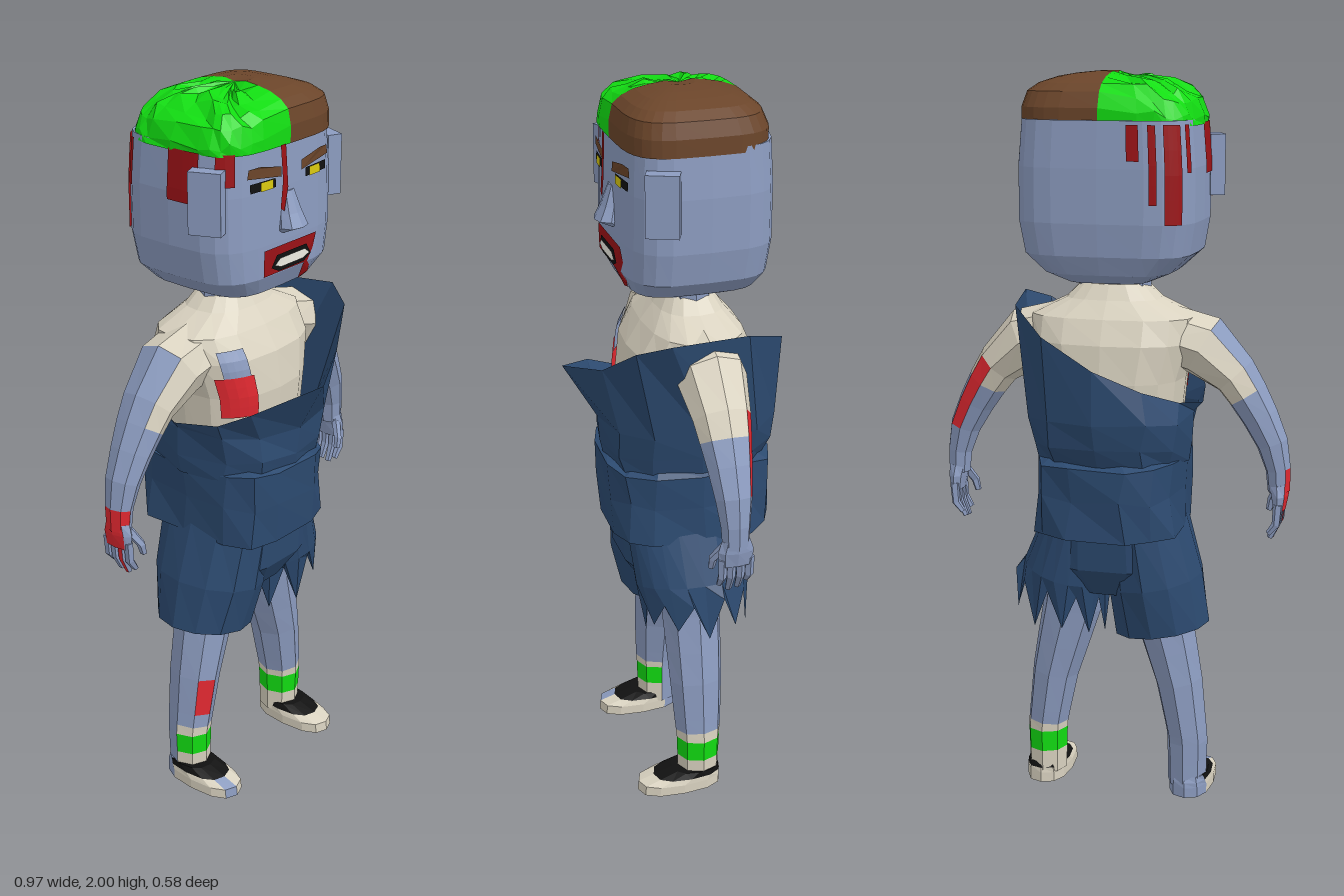
import * as THREE from 'three';

const SKIN = 0x8c9cc0, CREAM = 0xd9d2c0, NAVY = 0x2c4a70, BROWN = 0x6b452a, GREEN = 0x12dd12;
const RED = 0xe02830, DARK_RED = 0x9c1216, BLACK = 0x111111, YELLOW = 0xd8c810, WHITE = 0xf0eee4;

let seed = 7;
const rnd = () => (seed = (seed * 16807) % 2147483647) / 2147483647;
const V = (x, y, z) => new THREE.Vector3(x, y, z);
const jitter = (ring, a) => ring.map(p => p.clone().add(V((rnd() - 0.5) * a, (rnd() - 0.5) * a, (rnd() - 0.5) * a)));

function mesh(name, geo, color, double = false) {
  const m = new THREE.Mesh(geo, new THREE.MeshStandardMaterial({
    color, flatShading: true, side: double ? THREE.DoubleSide : THREE.FrontSide }));
  m.name = name;
  return m;
}

// Skin over rings listed upward; paint(i, j) gives the colour of each face
function loft(name, rings, paint, { cap = true, double = false } = {}) {
  const group = new THREE.Group();
  group.name = name;
  const all = rings.slice(), n = rings[0].length;
  const flat = r => { const c = V(0, 0, 0); r.forEach(p => c.add(p)); c.divideScalar(n); return r.map(() => c); };
  if (cap) { all.unshift(flat(rings[0])); all.push(flat(rings[rings.length - 1])); }
  const lists = new Map();
  for (let i = 0; i < all.length - 1; i++) for (let j = 0; j < n; j++) {
    const row = Math.min(Math.max(cap ? i - 1 : i, 0), rings.length - 2);
    const color = typeof paint === 'function' ? paint(row, j) : paint;
    if (!lists.has(color)) lists.set(color, []);
    const k = (j + 1) % n, a = all[i][j], b = all[i][k], c = all[i + 1][k], d = all[i + 1][j];
    const out = lists.get(color);
    if (d !== c) out.push(a, d, c);
    if (a !== b) out.push(a, c, b);
  }
  for (const [color, pts] of lists) {
    const g = new THREE.BufferGeometry().setFromPoints(pts);
    g.computeVertexNormals();
    group.add(mesh(name + 'Surface', g, color, double));
  }
  return group;
}

// Rounded-square point on a section [y, halfWidth, zFront, zBack]
function sectionPoint([y, hw, zf, zb], t, n, cx = 0) {
  const p = v => Math.sign(v) * Math.pow(Math.abs(v), 2 / n);
  return V(cx + hw * p(Math.cos(t)), y, (zf + zb) / 2 + (zf - zb) / 2 * p(Math.sin(t)));
}
const ringsOf = (sections, n, segs, cx = 0) => sections.map(s =>
  Array.from({ length: segs }, (_, j) => sectionPoint(s, j / segs * Math.PI * 2, n, cx)));
function sectionAt(sections, y) {
  let i = 0;
  while (i < sections.length - 2 && sections[i + 1][0] < y) i++;
  const a = sections[i], b = sections[i + 1], f = (y - a[0]) / (b[0] - a[0]);
  return a.map((v, k) => v + (b[k] - v) * f);
}

// Rings across a path of [x, y, z, halfWidth, halfDepth], listed upward
function limbRings(path, segs) {
  return path.map(([x, y, z, w, d], i) => {
    const a = path[Math.max(i - 1, 0)], b = path[Math.min(i + 1, path.length - 1)];
    const l = Math.hypot(b[0] - a[0], b[1] - a[1]), ux = (b[1] - a[1]) / l, uy = -(b[0] - a[0]) / l;
    return Array.from({ length: segs }, (_, j) => {
      const t = j / segs * Math.PI * 2, c = Math.cos(t) * w;
      return V(x + ux * c, y + uy * c, z + Math.sin(t) * d);
    });
  });
}

// Flat outline laid on the front of a sectioned body
function frontPatch(name, color, sections, n, pts, off) {
  const g = new THREE.ShapeGeometry(new THREE.Shape(pts.map(p => new THREE.Vector2(...p))));
  const pos = g.attributes.position;
  for (let i = 0; i < pos.count; i++) {
    const [, hw, zf, zb] = sectionAt(sections, pos.getY(i));
    const r = Math.min(Math.abs(pos.getX(i)) / hw, 1);
    pos.setZ(i, (zf + zb) / 2 + (zf - zb) / 2 * Math.pow(1 - r ** n, 1 / n) + off);
  }
  g.computeVertexNormals();
  return mesh(name, g, color, true);
}
const rect = (x0, x1, y0, y1) => [[x0, y0], [x1, y0], [x1, y1], [x0, y1]];

// Strip wrapped round a sectioned body between two angles in degrees
function wrapPatch(name, color, sections, n, t0, t1, y0, y1, off = 0.004) {
  const g = new THREE.PlaneGeometry(1, 1, 4, 4), pos = g.attributes.position;
  for (let i = 0; i < pos.count; i++) {
    const t = THREE.MathUtils.degToRad(t1 + (t0 - t1) * (pos.getX(i) + 0.5));
    const [y, hw, zf, zb] = sectionAt(sections, y0 + (y1 - y0) * (pos.getY(i) + 0.5));
    const p = sectionPoint([y, hw + off, zf + off, zb - off], t, n);
    pos.setXYZ(i, p.x, p.y, p.z);
  }
  g.computeVertexNormals();
  return mesh(name, g, color, true);
}

function makeHead() {
  const head = new THREE.Group(), N = 4;
  head.name = 'head';
  const S = [[1.46, 0.11, 0.08, -0.17], [1.485, 0.17, 0.13, -0.205], [1.535, 0.225, 0.155, -0.225],
    [1.62, 0.24, 0.157, -0.235], [1.76, 0.24, 0.155, -0.235], [1.88, 0.23, 0.15, -0.23]];
  head.add(loft('skull', ringsOf(S, N, 24), SKIN));

  // Hair: smooth on the left, lumpy on the right
  const hair = ringsOf([[1.865, 0.232, 0.157, -0.222], [1.91, 0.231, 0.157, -0.222], [1.95, 0.218, 0.148, -0.205],
    [1.97, 0.19, 0.125, -0.18], [1.985, 0.145, 0.09, -0.14], [1.993, 0.1, 0.05, -0.1], [1.998, 0.05, 0.01, -0.06]], 4, 32);
  hair.forEach((r, i) => r.forEach(p => {
    if (p.x > -0.01) return;
    p.x *= 1 + (rnd() - 0.5) * 0.06;
    if (i) p.y -= rnd() * 0.022 + 0.1 * Math.max(0, -p.x - 0.1);
  }));
  head.add(loft('hair', hair, (i, j) => (j >= 8 && j < 24 ? GREEN : BROWN)));

  // Nose
  head.add(loft('nose', ringsOf([[1.64, 0.035, 0.165, 0.13], [1.655, 0.043, 0.2, 0.13], [1.69, 0.034, 0.182, 0.13],
    [1.745, 0.022, 0.16, 0.13]], 2.5, 8), SKIN));

  const face = (name, color, pts, off) => head.add(frontPatch(name, color, S, N, pts, off));
  for (const s of [1, -1]) {
    const ear = mesh('ear', new THREE.BoxGeometry(0.04, 0.16, 0.085), SKIN);
    ear.position.set(s * 0.24, 1.755, 0.088);
    ear.rotation.set(0, -s * 0.4, 0);
    head.add(ear);
    const flip = pts => pts.map(([x, y]) => [s * x, y]);
    face('eye', BLACK, flip(rect(0.06, 0.15, 1.767, 1.79)), 0.005);
    face('iris', YELLOW, flip(rect(0.072, 0.118, 1.767, 1.79)), 0.008);
    face('eyebrow', BROWN, flip([[0.04, 1.79], [0.16, 1.805], [0.155, 1.828], [0.12, 1.83], [0.04, 1.815]]), 0.008);
  }

  // Mouth and blood on the face
  face('mouthBlood', DARK_RED, [[-0.105, 1.54], [0.055, 1.54], [0.06, 1.49], [0.1, 1.5], [0.105, 1.61], [-0.105, 1.61]], 0.006);
  face('lips', BLACK, [[-0.08, 1.56], [-0.05, 1.545], [0.05, 1.545], [0.08, 1.56], [0.06, 1.59], [-0.06, 1.59]], 0.009);
  face('teeth', WHITE, [[-0.07, 1.565], [-0.045, 1.556], [0.045, 1.556], [0.07, 1.565], [0.05, 1.58], [-0.05, 1.58]], 0.012);
  face('foreheadDrip', DARK_RED, [[-0.05, 1.71], [-0.035, 1.70], [-0.02, 1.76], [-0.025, 1.87], [-0.045, 1.87], [-0.04, 1.78]], 0.012);

  // Blood running down the right side and the back
  [[128, 150, 1.79], [205, 212, 1.75], [219, 239, 1.62], [246, 252, 1.67], [258, 264, 1.78], [166, 180, 1.74]].forEach(
    ([a, b, y]) => head.add(wrapPatch('headDrip', DARK_RED, S, N, a, b, y, 1.87)));
  head.add(wrapPatch('cheekBlood', DARK_RED, S, N, 140, 165, 1.67, 1.735));
  return head;
}

function makeTorso() {
  const torso = new THREE.Group();
  torso.name = 'torso';
  const S = [[0.95, 0.17, 0.12, -0.2], [1.2, 0.195, 0.135, -0.215], [1.3, 0.225, 0.12, -0.205],
    [1.365, 0.225, 0.08, -0.175], [1.41, 0.13, 0.045, -0.135], [1.45, 0.09, 0.02, -0.11]];
  torso.add(loft('chest', ringsOf(S, 2.6, 16), CREAM));
  torso.add(loft('neck', ringsOf([[1.39, 0.1, 0.02, -0.11], [1.5, 0.1, 0.01, -0.1]], 2.5, 10), SKIN));
  torso.add(wrapPatch('chestSkin', SKIN, S, 2.6, 113, 138, 1.23, 1.335, 0.007));
  torso.add(wrapPatch('chestBlood', RED, S, 2.6, 111, 147, 1.15, 1.265, 0.01));

  // Torn shirt hanging from the left shoulder
  const neckline = [[0.29, 1.40, 0.08], [0.24, 1.37, 0.16], [0.13, 1.29, 0.22], [-0.02, 1.25, 0.29], [-0.18, 1.19, 0.18],
    [-0.22, 1.15, 0.1], [-0.24, 1.13, -0.03], [-0.2, 1.15, -0.15], [-0.12, 1.19, -0.24], [0, 1.25, -0.29],
    [0.14, 1.33, -0.27], [0.25, 1.39, -0.14]].map(p => V(...p));
  const shirt = ringsOf([[0.975, 0.2, 0.18, -0.25], [1.03, 0.212, 0.198, -0.275], [1.1, 0.222, 0.195, -0.285]], 2.6, 12);
  torso.add(loft('shirt', [...shirt.map(r => jitter(r, 0.015)), neckline], NAVY, { cap: false, double: true }));
  const band = ringsOf([[0.785, 0.205, 0.19, -0.268], [0.89, 0.202, 0.19, -0.265], [0.985, 0.207, 0.197, -0.262],
    [1.0, 0.18, 0.15, -0.22]], 3, 14);
  torso.add(loft('shirtHem', band.map(r => jitter(r, 0.018)), NAVY));
  return torso;
}

function makeShorts() {
  const shorts = new THREE.Group();
  shorts.name = 'shorts';
  shorts.add(loft('waist', ringsOf([[0.6, 0.1, 0.1, -0.14], [0.68, 0.2, 0.15, -0.19], [0.82, 0.19, 0.16, -0.2]], 2.8, 14), NAVY));
  const open = { cap: false, double: true };
  const right = limbRings([[-0.132, 0.492, -0.03, 0.134, 0.135], [-0.112, 0.63, -0.025, 0.132, 0.165], [-0.085, 0.8, -0.02, 0.11, 0.17]], 12);
  shorts.add(loft('wholeLeg', right, NAVY, open));
  // Ragged left hem
  const left = limbRings([[0.16, 0.55, -0.03, 0.13, 0.14], [0.137, 0.64, -0.025, 0.125, 0.16], [0.095, 0.8, -0.02, 0.1, 0.17]], 20);
  left[0].forEach((p, j) => { p.y += j % 2 ? 0.04 + rnd() * 0.03 : -0.02 - rnd() * 0.05; });
  shorts.add(loft('tornLeg', left, NAVY, open));
  return shorts;
}

function makeArm(s) {
  const arm = new THREE.Group();
  arm.name = s > 0 ? 'leftArm' : 'rightArm';
  const path = [[0.452, 0.9, 0.03, 0.036], [0.449, 0.96, 0.034, 0.04], [0.432, 1.03, 0.043, 0.05], [0.398, 1.1, 0.05, 0.06],
    [0.363, 1.16, 0.056, 0.07], [0.33, 1.21, 0.062, 0.078], [0.245, 1.285, 0.086, 0.095], [0.14, 1.315, 0.08, 0.1]];
  const paint = (i, j) => {
    if (s > 0) return j === 6 && i >= 2 && i <= 4 ? RED : i >= 4 ? CREAM : SKIN;
    if (i === 0 && j >= 2 && j <= 4) return RED;
    return i < 4 || (i < 6 && (j === 3 || j === 4)) ? SKIN : CREAM;
  };
  arm.add(loft('sleeveAndForearm', limbRings(path.map(([x, y, w, d]) => [s * x, y, -0.04, w, d]), 8), paint));
  // Hand, with blood on the outside of the right one
  arm.add(loft('palm', limbRings([[s * 0.455, 0.85, -0.04, 0.016, 0.045], [s * 0.455, 0.89, -0.04, 0.024, 0.048],
    [s * 0.452, 0.92, -0.04, 0.028, 0.038]], 8), (i, j) => (s < 0 && (j === 3 || j === 4) ? RED : SKIN)));
  [-0.077, -0.053, -0.028, -0.004].forEach((z, k) => {
    const tip = [0.79, 0.772, 0.768, 0.785][k];
    arm.add(loft('finger', limbRings([[s * 0.432, tip, z, 0.008, 0.009], [s * 0.452, 0.815, z, 0.012, 0.012],
      [s * 0.456, 0.87, z, 0.013, 0.013]], 5), (i, j) => (s < 0 && k === 2 && j === 2 ? RED : SKIN)));
  });
  arm.add(loft('thumb', limbRings([[s * 0.418, 0.83, 0.014, 0.009, 0.009], [s * 0.425, 0.86, 0.012, 0.012, 0.012],
    [s * 0.448, 0.905, -0.015, 0.014, 0.014]], 5), SKIN));
  return arm;
}

function makeLeg(s) {
  const leg = new THREE.Group();
  leg.name = s > 0 ? 'leftLeg' : 'rightLeg';
  const path = [[0.205, 0.03, 0.055, 0.06], [0.205, 0.095, 0.056, 0.062], [0.205, 0.155, 0.058, 0.064], [0.203, 0.18, 0.058, 0.066],
    [0.197, 0.22, 0.06, 0.069], [0.18, 0.33, 0.067, 0.076], [0.158, 0.42, 0.075, 0.08], [0.13, 0.53, 0.084, 0.085], [0.11, 0.66, 0.085, 0.1]];
  // Sock is torn away at the back of the right ankle
  const paint = (i, j) => {
    if (s < 0 && i === 4 && j === 2) return RED;
    if (i > 2 || (s < 0 && j > 3)) return SKIN;
    return i === 1 ? GREEN : CREAM;
  };
  leg.add(loft('shinAndSock', limbRings(path.map(([x, y, w, d]) => [s * x, y, -0.025, w, d]), 8), paint));
  // Shoe
  const shoe = ringsOf([[0, 0.06, 0.158, -0.088], [0.028, 0.06, 0.155, -0.088], [0.042, 0.057, 0.11, -0.086],
    [0.058, 0.052, 0.055, -0.08]], 2.5, 12, s * 0.21);
  leg.add(loft('shoe', shoe, (i, j) => (s < 0 && ((j >= 7 && j <= 10) || (j === 3 && i < 2)) ? SKIN : i > 1 ? BLACK : CREAM)));
  return leg;
}

export function createModel() {
  seed = 7;
  const model = new THREE.Group();
  model.name = 'figure';
  model.add(makeHead(), makeTorso(), makeShorts());
  for (const s of [1, -1]) model.add(makeArm(s), makeLeg(s));
  return model;
}
